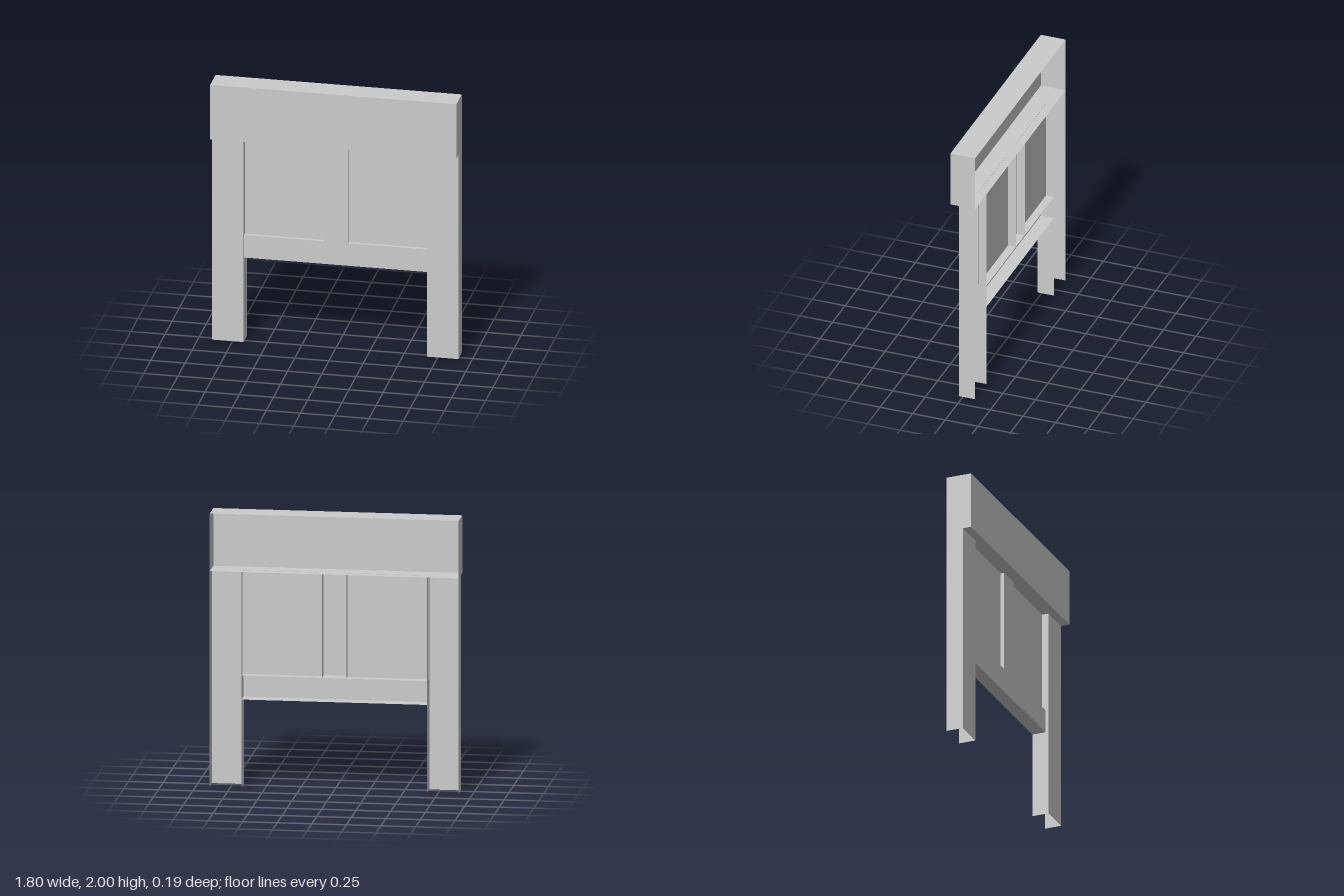
import * as THREE from 'three';

const material = new THREE.MeshStandardMaterial({ color: 0xcccccc, side: THREE.DoubleSide, flatShading: true });
const FACES = ['right', 'left', 'top', 'bottom', 'front', 'back'];

// Box between two corners that keeps only the listed sides, like folded sheet
function shell(name, [x0, y0, z0], [x1, y1, z1], sides = FACES) {
  const geometry = new THREE.BoxGeometry(x1 - x0, y1 - y0, z1 - z0);
  const all = Array.from(geometry.index.array);
  geometry.setIndex(sides.flatMap((side) => {
    const start = FACES.indexOf(side) * 6;
    return all.slice(start, start + 6);
  }));
  geometry.clearGroups();
  geometry.translate((x0 + x1) / 2, (y0 + y1) / 2, (z0 + z1) / 2);
  const mesh = new THREE.Mesh(geometry, material);
  mesh.name = name;
  return mesh;
}

export function createModel() {
  const group = new THREE.Group();
  group.name = 'fireplaceSurround';

  const back = -0.095;
  const halfWidth = 0.9, legInner = 0.67, mullionHalf = 0.088;
  const beamBottom = 1.578, railTop = 0.82, railBottom = 0.645;
  const poke = 0.002; // panels just pierce the neighbouring sheets

  // Deep beam across the top, open at the back
  group.add(shell('topBeam', [-halfWidth, beamBottom, back], [halfWidth, 2, 0.095],
    ['right', 'left', 'top', 'bottom', 'front']));

  // Lower rail and centre mullion share one front plane
  group.add(shell('lowerRail', [-legInner, railBottom, back], [legInner, railTop, 0.006],
    ['top', 'bottom', 'front']));
  group.add(shell('centreMullion', [-mullionHalf, railTop, back], [mullionHalf, beamBottom, 0.006],
    ['right', 'left', 'front']));

  // Channel-shaped legs and thin recessed panels on both sides
  for (const side of [-1, 1]) {
    const label = side > 0 ? 'left' : 'right';
    const span = (a, b) => [Math.min(side * a, side * b), Math.max(side * a, side * b)];

    const [l0, l1] = span(legInner, halfWidth);
    group.add(shell(label + 'Leg', [l0, 0, back], [l1, beamBottom, 0.03], ['right', 'left', 'front']));

    const [p0, p1] = span(mullionHalf - poke, legInner + poke);
    group.add(shell(label + 'Panel', [p0, railTop - poke, -0.034], [p1, beamBottom + poke, -0.02]));
  }
  return group;
}
